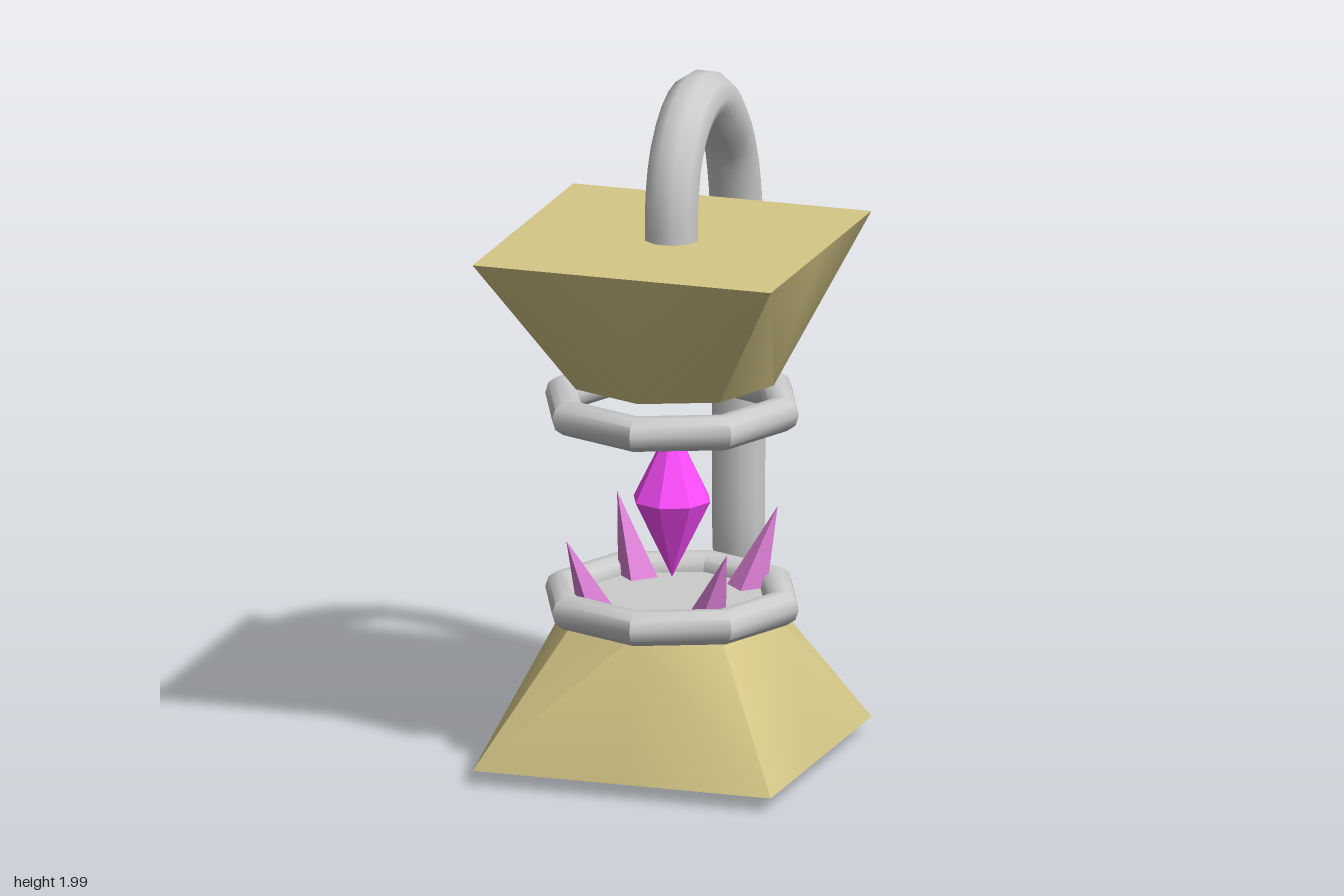
import * as THREE from 'three';
import { toCreasedNormals } from 'three/addons/utils/BufferGeometryUtils.js';

const AXIS_Z = 0.272; // z of the vertical axis of the lamp body
const mat = (color, extra = {}) => new THREE.MeshStandardMaterial({ color, ...extra });

function add(parent, name, geometry, material, x = 0, y = 0, z = 0) {
  const mesh = new THREE.Mesh(geometry, material);
  mesh.name = name;
  mesh.position.set(x, y, z);
  parent.add(mesh);
  return mesh;
}

// Solid that blends from a square (below) to an octagon (above), centred on its height
function squareToOctagon(half, radius, height) {
  const bottom = [], top = [], pos = [];
  for (let i = 0; i < 8; i++) {
    const a = i * Math.PI / 4, s = Math.sin(a), c = Math.cos(a);
    const r = i % 2 ? half * Math.SQRT2 : half;
    bottom.push([s * r, -height / 2, c * r]);
    top.push([s * radius, height / 2, c * radius]);
  }
  const tri = (...p) => p.forEach(v => pos.push(...v));
  for (let i = 0; i < 8; i++) {
    const j = (i + 1) % 8;
    if (i % 2) { // the fold always starts at a corner of the square
      tri(bottom[i], bottom[j], top[j]);
      tri(bottom[i], top[j], top[i]);
    } else {
      tri(bottom[i], bottom[j], top[i]);
      tri(bottom[j], top[j], top[i]);
    }
    tri([0, height / 2, 0], top[i], top[j]);
    tri([0, -height / 2, 0], bottom[j], bottom[i]);
  }
  const g = new THREE.BufferGeometry();
  g.setAttribute('position', new THREE.Float32BufferAttribute(pos, 3));
  return toCreasedNormals(g, 0.54);
}

// Open pipe swept along a path, slightly flattened on the long leg
function pipeGeometry(path, steps, sides) {
  const curve = new THREE.CatmullRomCurve3(path.map(([z, y, x]) => new THREE.Vector3(x, y, z)));
  const pos = [], index = [];
  for (let i = 0; i <= steps; i++) {
    const u = i / steps, p = curve.getPointAt(u), t = curve.getTangentAt(u);
    const n = new THREE.Vector3(0, -t.z, t.y).normalize();
    const thick = THREE.MathUtils.lerp(0.078, 0.061, THREE.MathUtils.smoothstep(u, 0.26, 0.34));
    for (let k = 0; k < sides; k++) {
      const a = k / sides * Math.PI * 2, d = Math.sin(a) * thick;
      pos.push(p.x + Math.cos(a) * 0.081, p.y + n.y * d, p.z + n.z * d);
      if (i === steps) continue;
      const q = i * sides + k, r = i * sides + (k + 1) % sides;
      index.push(q, r, q + sides, r, r + sides, q + sides);
    }
  }
  const g = new THREE.BufferGeometry();
  g.setAttribute('position', new THREE.Float32BufferAttribute(pos, 3));
  g.setIndex(index);
  g.computeVertexNormals();
  return g;
}

// Leaning four-sided spike whose tip is offset from its base
function shardGeometry(height, leanX, leanZ) {
  const g = new THREE.ConeGeometry(0.062, height, 4).translate(0, height / 2, 0);
  const p = g.attributes.position;
  for (let i = 0; i < p.count; i++) {
    const t = p.getY(i) / height;
    p.setX(i, p.getX(i) + t * leanX);
    p.setZ(i, p.getZ(i) + t * leanZ);
  }
  return g;
}

export function createModel() {
  const model = new THREE.Group();
  model.name = 'crystalPipeStand';
  const grey = mat(0xcccccc);
  const tan = mat(0xd6c888);
  const gemMat = mat(0xff4cff, { flatShading: true });
  const shardMat = mat(0xdd80d6, { flatShading: true });

  const body = new THREE.Group();
  body.name = 'body';
  body.position.z = AXIS_Z;
  model.add(body);

  // Two mirrored blocks
  const block = squareToOctagon(0.455, 0.31, 0.415);
  add(body, 'lowerBlock', block, tan, 0, 0.2575, 0);
  add(body, 'upperBlock', block, tan, 0, 1.3625, 0).rotation.x = Math.PI;

  // Octagonal rings
  const ring = toCreasedNormals(new THREE.TorusGeometry(0.335, 0.052, 10, 8).rotateX(Math.PI / 2), 0.7);
  add(body, 'lowerRing', ring, grey, 0, 0.488, 0);
  add(body, 'upperRing', ring, grey, 0, 1.072, 0);

  // Plate inside the lower ring
  add(body, 'plate', new THREE.CylinderGeometry(0.32, 0.32, 0.04, 8), mat(0xcccccc, { flatShading: true }), 0, 0.47, 0);

  // Floating gem
  const gem = new THREE.LatheGeometry(
    [[0, -0.235], [0.117, 0], [0, 0.235]].map(([x, y]) => new THREE.Vector2(x, y)), 8);
  add(body, 'gem', gem, gemMat, 0, 0.787, 0);

  // Four shards around the gem
  for (const sx of [-1, 1]) for (const sz of [-1, 1]) {
    const height = sz > 0 ? 0.215 : 0.24;
    add(body, 'shard', shardGeometry(height, sx * 0.08, sz * 0.045), shardMat, sx * 0.165, 0.485, sz * 0.185);
  }

  // Bent pipe: path points are z, y, x
  const path = [
    [0.275, 1.54, 0], [0.273, 1.68, 0], [0.225, 1.81, -0.002], [0.13, 1.895, -0.004],
    [0.02, 1.922, -0.006], [-0.09, 1.895, -0.008], [-0.19, 1.815, -0.01], [-0.285, 1.705, -0.011],
    [-0.345, 1.5, -0.012], [-0.362, 1.24, -0.012], [-0.37, 0.85, -0.013], [-0.374, 0.5, -0.014],
    [-0.396, 0.37, -0.016], [-0.455, 0.235, -0.022], [-0.57, 0.115, -0.034], [-0.72, 0.062, -0.048],
  ];
  add(model, 'pipe', pipeGeometry(path, 48, 10), mat(0xcccccc, { side: THREE.DoubleSide }));

  return model;
}
